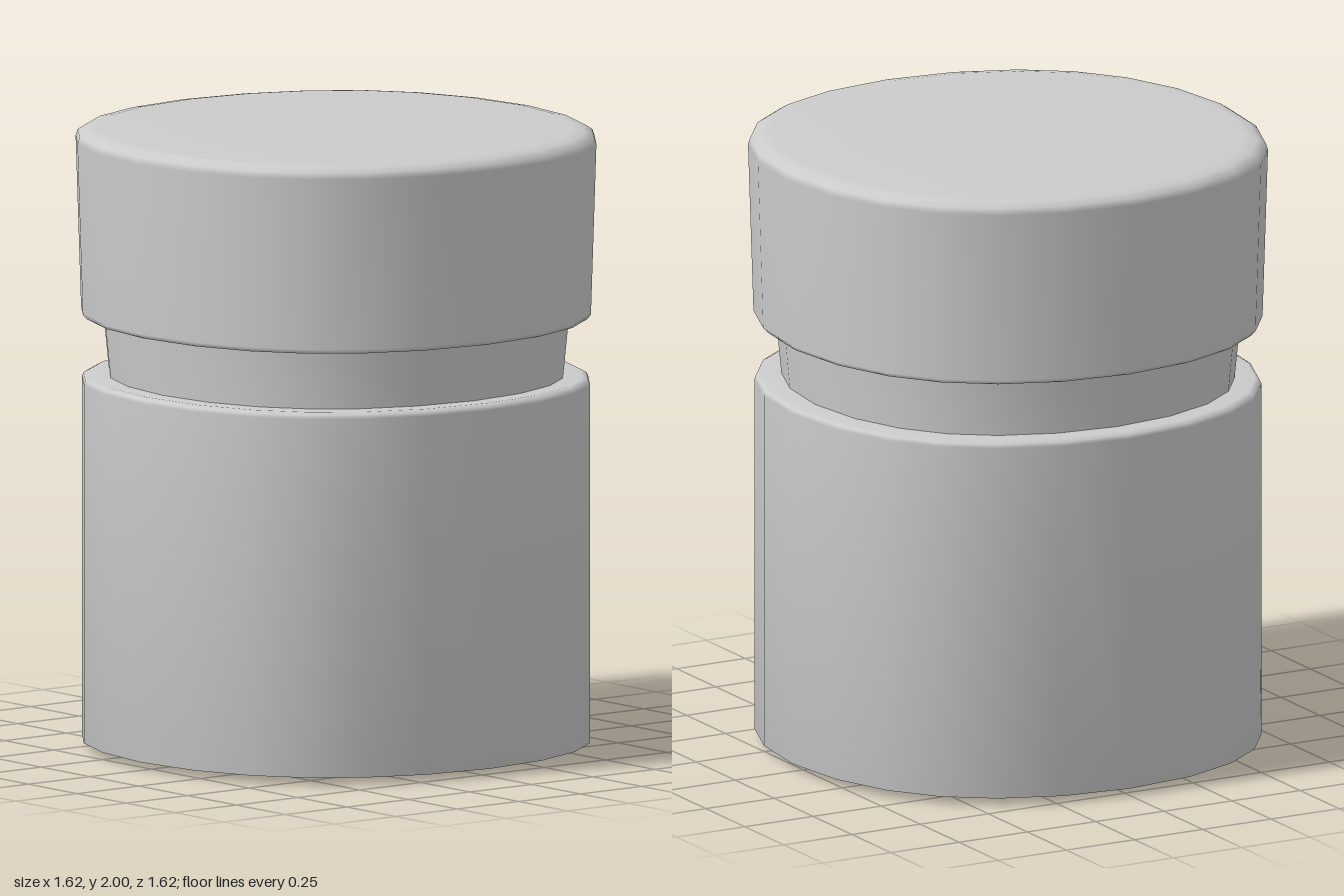
import * as THREE from 'three';
import { mergeVertices } from 'three/addons/utils/BufferGeometryUtils.js';

const SIDES = 24;

// Turn a profile of [radius, y] pairs, swell it slightly on the diagonals, and smooth it
function turned(name, profile) {
  let geo = new THREE.LatheGeometry(profile.map(([r, y]) => new THREE.Vector2(r, y)), SIDES);
  const pos = geo.attributes.position;
  for (let i = 0; i < pos.count; i++) {
    const x = pos.getX(i), z = pos.getZ(i);
    const a = Math.atan2(x, z);
    const r = Math.hypot(x, z) * (1 + 0.03 * Math.sin(2 * a) ** 2);
    const b = a + 0.04 * Math.sin(4 * a);
    pos.setX(i, r * Math.sin(b));
    pos.setZ(i, r * Math.cos(b));
  }
  geo.deleteAttribute('uv');
  geo.deleteAttribute('normal');
  geo = mergeVertices(geo, 1e-4);
  geo.computeVertexNormals();
  const mesh = new THREE.Mesh(geo, new THREE.MeshStandardMaterial({ color: 0xcccccc }));
  mesh.name = name;
  return mesh;
}

export function createModel() {
  const jar = new THREE.Group();
  jar.name = 'jar';

  // Straight body with a faintly bulging base and a bevelled shoulder
  jar.add(turned('body', [
    [0, 0], [0.55, 0.005], [0.79, 0.025], [0.79, 1.18], [0.785, 1.192], [0.77, 1.2], [0.69, 1.2],
  ]));

  // Recessed neck, widening upward
  jar.add(turned('neck', [[0.705, 1.19], [0.725, 1.4]]));

  // Lid, slightly wider at the top, with a soft top edge
  jar.add(turned('lid', [
    [0, 1.39], [0.7, 1.39], [0.78, 1.39], [0.793, 1.405], [0.81, 1.955], [0.803, 1.975],
    [0.78, 1.99], [0.74, 1.996], [0.4, 2], [0, 2],
  ]));

  return jar;
}
